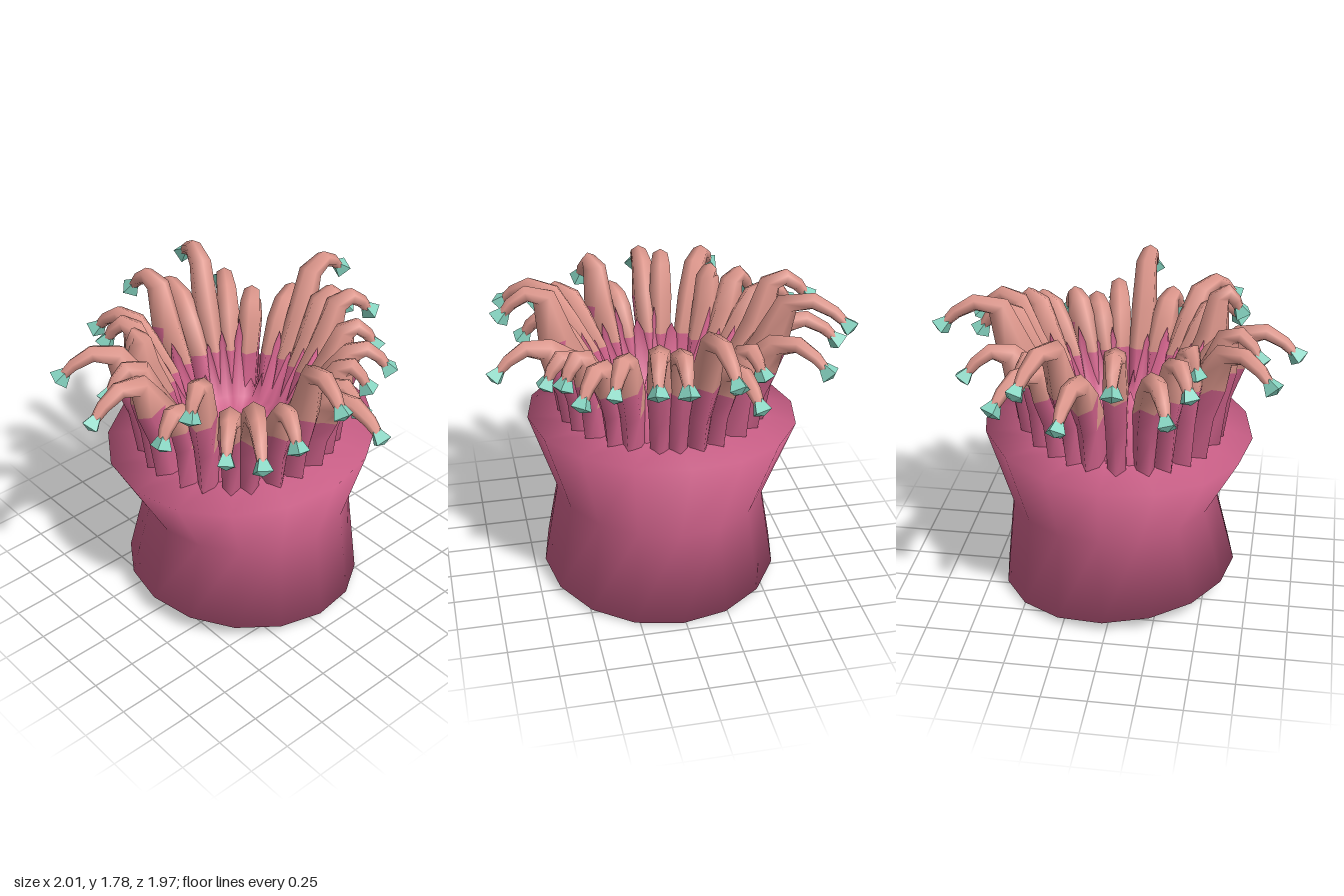
import * as THREE from 'three';

const pink = new THREE.MeshStandardMaterial({ color: 0xd0628b });
pink.name = 'body pink';
const salmon = new THREE.MeshStandardMaterial({ color: 0xe0998e });
salmon.name = 'tentacle salmon';
const teal = new THREE.MeshStandardMaterial({ color: 0x86d4c1, flatShading: true });
teal.name = 'tip teal';

// Tentacle tips, going round from the back: x, y, z
const TIPS = [
  [0.19, 1.42, -0.94], [0.39, 1.60, -0.93], [0.55, 1.42, -0.78], [0.50, 1.41, -0.44], [0.80, 1.39, -0.35],
  [0.95, 1.61, -0.19], [0.79, 1.51, 0.02], [0.82, 1.54, 0.18], [0.67, 1.47, 0.37], [0.62, 1.41, 0.53],
  [0.40, 1.41, 0.59], [0.27, 1.36, 0.67], [0.16, 1.38, 0.92], [-0.07, 1.61, 0.86], [-0.24, 1.40, 0.73],
  [-0.55, 1.48, 0.81], [-0.60, 1.42, 0.60], [-0.62, 1.56, 0.35], [-0.69, 1.35, 0.20], [-0.95, 1.48, -0.03],
  [-0.76, 1.50, -0.15], [-0.84, 1.49, -0.46], [-0.44, 1.50, -0.39], [-0.43, 1.48, -0.61], [-0.34, 1.43, -0.82],
  [-0.07, 1.58, -0.84],
];
const COUNT = TIPS.length;
const START = -1.36;
// Tentacles followed by an open gap in the web
const GAPS = [3, 12, 21, 25];

const polar = (a, r, y) => new THREE.Vector3(Math.cos(a) * r, y, Math.sin(a) * r);

// Direction of each tip, counted up from the first
const tipAngles = TIPS.map(([x, , z]) => {
  const a = Math.atan2(z, x);
  return a < START - 0.1 ? a + Math.PI * 2 : a;
});

// Joins closed rings of points; slot(i, j, half) picks a material for each triangle
function loft(rings, slot = () => 0) {
  const n = rings[0].length;
  const faces = [[], []];
  for (let i = 0; i < rings.length - 1; i++) {
    for (let j = 0; j < n; j++) {
      const k = (j + 1) % n;
      const a = i * n + j, b = i * n + k, c = a + n, d = b + n;
      faces[slot(i, j, 0)].push(a, c, b);
      faces[slot(i, j, 1)].push(b, c, d);
    }
  }
  const geo = new THREE.BufferGeometry().setFromPoints(rings.flat());
  geo.setIndex(faces.flat());
  geo.addGroup(0, faces[0].length, 0);
  geo.addGroup(faces[0].length, faces[1].length, 1);
  geo.computeVertexNormals();
  return geo;
}

function addMesh(parent, name, geo, material) {
  const mesh = new THREE.Mesh(geo, material);
  mesh.name = name;
  parent.add(mesh);
  return mesh;
}

// Body ring on a tilted plane
function ring(cx, cz, r, y, tiltX, tiltZ, n = 16) {
  return Array.from({ length: n }, (_, j) => {
    const p = polar((j / n) * Math.PI * 2, r, 0);
    p.x += cx;
    p.z += cz;
    p.y = y + tiltX * p.x + tiltZ * p.z;
    return p;
  });
}

// One smooth skin from the foot, past the waist, over the rim
function buildBody(group) {
  const foot = (r) => ring(0.02, 0.02, r, 0.07, -0.095, 0);
  const rim = (r) => ring(0.02, 0, r, 0.993, 0.07, 0.045);
  const rings = [foot(0.001), foot(0.675), ring(0.05, 0.02, 0.59, 0.56, -0.02, 0.04), rim(0.755), rim(0.4)];
  addMesh(group, 'body', loft(rings), pink);
}

// Web that rises in uneven points between the tentacles and dips to the mouth floor
function buildWeb(group) {
  const make = (r, y, rise = 0, spread = 0) => Array.from({ length: COUNT * 2 }, (_, j) => {
    const i = j >> 1;
    const next = i + 1 < COUNT ? tipAngles[i + 1] : tipAngles[0] + Math.PI * 2;
    if (j % 2 === 0) return polar(tipAngles[i], r, y);
    const peak = GAPS.includes(i) ? -0.9 : 0.5 + ((i * 7) % 5) * 0.15;
    return polar((tipAngles[i] + next) / 2, r + peak * spread, y + peak * rise);
  });
  const rings = [make(0.46, 0.96), make(0.39, 1.22, 0.2, 0.07), make(0.28, 1.03), make(0.16, 1), make(0.001, 1)];
  addMesh(group, 'mouthWeb', loft(rings), pink);
}

// Pink above the root, salmon on the inner face and the drooping end
function tentacleSlot(i, j, half) {
  if (i === 0) return 0;
  if (i > 1 || j === 2 || j === 3) return 1;
  if (j === 1) return half;
  if (j === 4) return 1 - half;
  return 0;
}

function buildTentacle(index) {
  const group = new THREE.Group();
  group.name = 'tentacle';
  const [x, y, z] = TIPS[index];
  const reach = Math.hypot(x, z) - 0.45;
  const angle = tipAngles[index];
  const at = (r, h) => polar(angle, r, h);

  const path = [
    at(0.425, 0.95),
    at(0.465 + 0.05 * reach, 1.24),
    at(0.5 + 0.17 * reach, 1.4 + 0.3 * (y - 1.4)),
    at(0.48 + 0.36 * reach, y + 0.1),
    at(0.45 + 0.66 * reach, y + 0.125),
    at(0.45 + 0.86 * reach, y + 0.07),
    at(0.45 + reach, y),
  ];
  // Half depth along the radius and half width across it
  const depths = [0.145, 0.125, 0.1, 0.065, 0.047, 0.036, 0.024];
  const widths = [0.056, 0.064, 0.074, 0.064, 0.05, 0.038, 0.024];
  const side = new THREE.Vector3(-Math.sin(angle), 0, Math.cos(angle));
  const tangent = new THREE.Vector3();
  const rings = path.map((p, i) => {
    tangent.subVectors(path[Math.min(i + 1, 6)], path[Math.max(i - 1, 0)]).normalize();
    const out = new THREE.Vector3().crossVectors(tangent, side).normalize();
    return Array.from({ length: 6 }, (_, j) => {
      const a = (j / 6) * Math.PI * 2;
      return p.clone().addScaledVector(out, Math.cos(a) * depths[i]).addScaledVector(side, Math.sin(a) * widths[i]);
    });
  });
  addMesh(group, 'tentacleArm', loft(rings, tentacleSlot), [pink, salmon]);

  // Faceted bud, widest near its outer end
  const profile = [[0, -0.045], [0.028, -0.045], [0.06, 0.022], [0, 0.042]].map(([r, h]) => new THREE.Vector2(r, h));
  const bud = addMesh(group, 'tentacleTip', new THREE.LatheGeometry(profile, 4), teal);
  bud.position.set(x, y, z);
  bud.quaternion.setFromUnitVectors(new THREE.Vector3(0, 1, 0), tangent);
  return group;
}

export function createModel() {
  const model = new THREE.Group();
  model.name = 'seaAnemone';
  buildBody(model);
  buildWeb(model);
  for (let i = 0; i < COUNT; i++) model.add(buildTentacle(i));
  return model;
}
